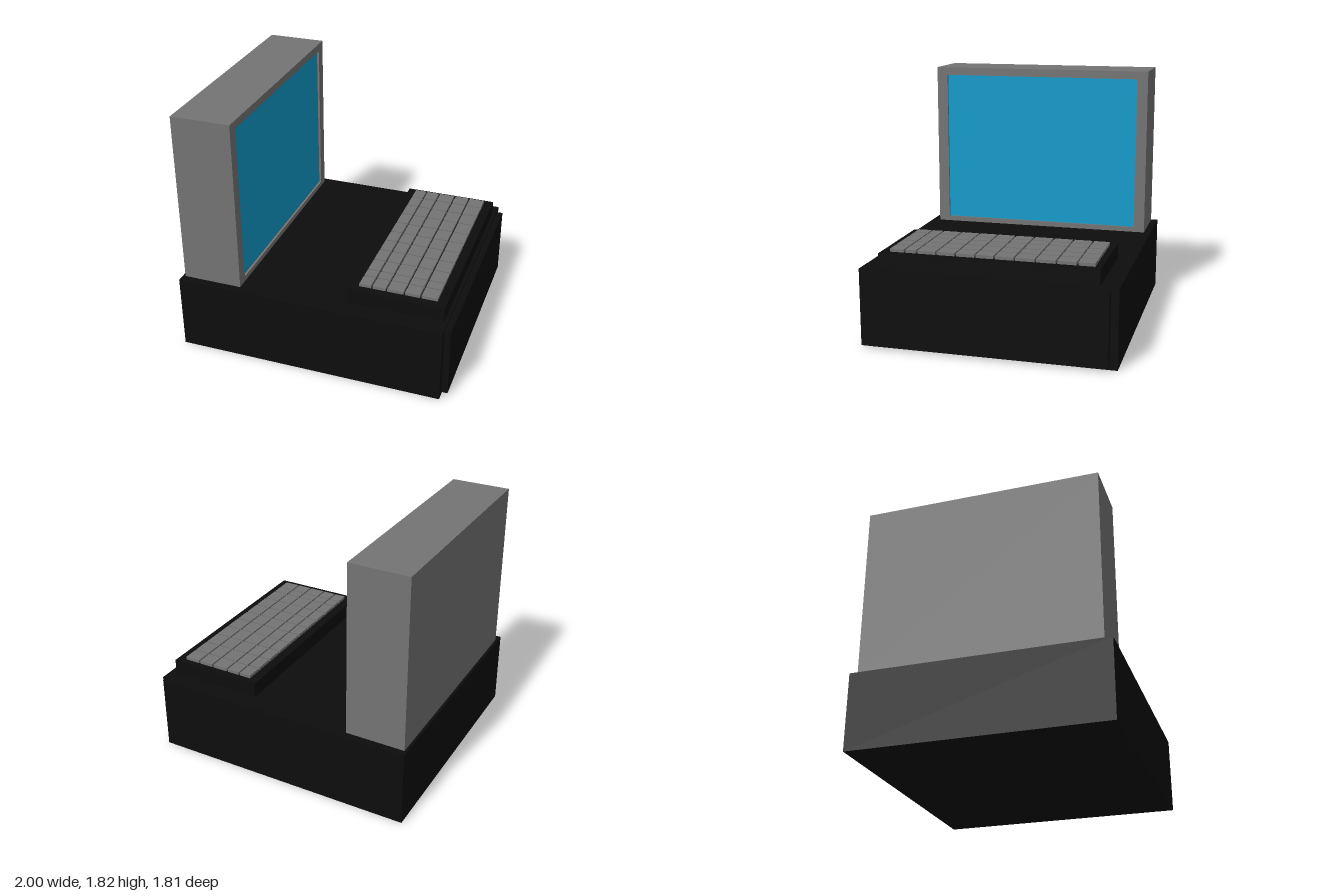
import * as THREE from 'three';

const black = new THREE.MeshStandardMaterial({ color: 0x0d0d0d });
black.name = 'black casing';
const grey = new THREE.MeshStandardMaterial({ color: 0x747474 });
grey.name = 'grey plastic';
const blue = new THREE.MeshStandardMaterial({ color: 0x0f9ccd });
blue.name = 'blue screen';

// Box given by its extents on each axis
function box(name, material, [x0, x1], [y0, y1], [z0, z1]) {
  const mesh = new THREE.Mesh(new THREE.BoxGeometry(x1 - x0, y1 - y0, z1 - z0), material);
  mesh.position.set((x0 + x1) / 2, (y0 + y1) / 2, (z0 + z1) / 2);
  mesh.name = name;
  return mesh;
}

// Rectangle outline in (-z, y), so it faces +x after a quarter turn
function rect(Type, [y0, y1], [z0, z1]) {
  return new Type([
    new THREE.Vector2(-z1, y0), new THREE.Vector2(-z0, y0),
    new THREE.Vector2(-z0, y1), new THREE.Vector2(-z1, y1),
  ]);
}

function createMonitor() {
  const monitor = new THREE.Group();
  monitor.name = 'monitor';
  const y = [0.555, 1.82], z = [-0.855, 0.845];
  const openY = [0.595, 1.76], openZ = [-0.775, 0.76];
  const recess = 0.02, front = -0.545;
  monitor.add(box('monitorBody', grey, [-0.98, front - recess], y, z));

  // Bezel around the recessed screen
  const outline = rect(THREE.Shape, y, z);
  outline.holes.push(rect(THREE.Path, openY, openZ));
  const bezel = new THREE.Mesh(
    new THREE.ExtrudeGeometry(outline, { depth: recess, bevelEnabled: false }), grey);
  bezel.rotation.y = Math.PI / 2;
  bezel.position.x = front - recess;
  bezel.name = 'screenBezel';
  monitor.add(bezel);

  monitor.add(box('screen', blue, [front - recess, front - recess + 0.004], openY, openZ));
  return monitor;
}

function createKeyboard() {
  const keyboard = new THREE.Group();
  keyboard.name = 'keyboard';
  keyboard.add(box('keyboardBase', black, [0.235, 0.93], [0.555, 0.668], [-0.775, 0.77]));

  // Centre lines of the gaps between keys
  const columns = [0.297, 0.394, 0.5, 0.627, 0.744, 0.87];
  const rows = [-0.735, -0.61, -0.468, -0.325, -0.18, -0.04, 0.095, 0.235, 0.373, 0.513, 0.6, 0.714];
  const gap = 0.006;
  for (let c = 0; c < columns.length - 1; c++) {
    for (let r = 0; r < rows.length - 1; r++) {
      keyboard.add(box('key', grey,
        [columns[c] + gap, columns[c + 1] - gap], [0.668, 0.69],
        [rows[r] + gap, rows[r + 1] - gap]));
    }
  }
  return keyboard;
}

export function createModel() {
  const model = new THREE.Group();
  model.name = 'desktopComputer';
  // Computer case with its raised end panel
  model.add(box('case', black, [-1, 0.955], [0, 0.557], [-0.905, 0.905]));
  model.add(box('endPanel', black, [0.955, 1], [0.02, 0.54], [-0.85, 0.848]));
  model.add(createMonitor(), createKeyboard());
  return model;
}
